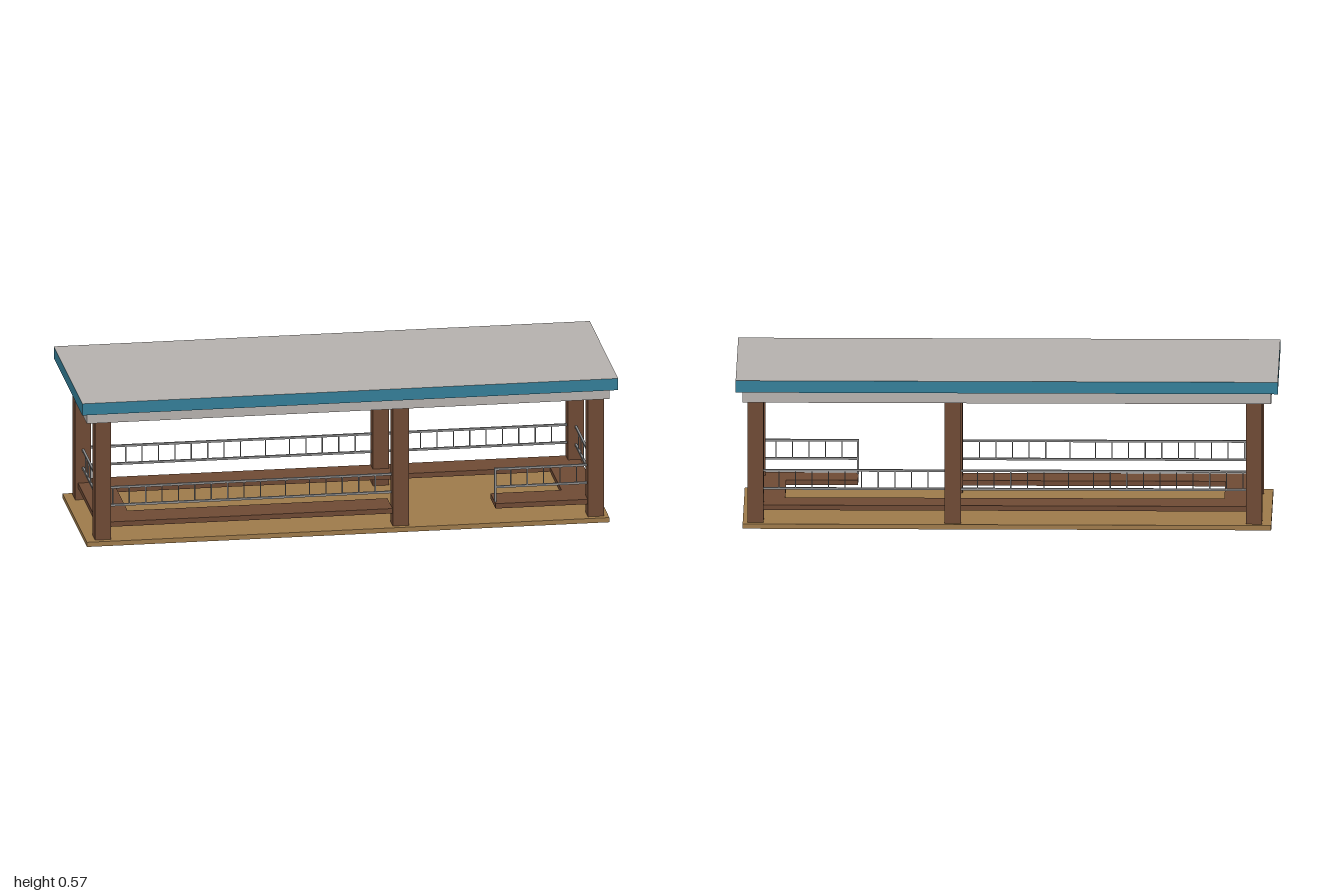
import * as THREE from 'three';

const paint = (name, color) => {
  const m = new THREE.MeshStandardMaterial({ color });
  m.name = name;
  return m;
};

export function createModel() {
  const model = new THREE.Group();
  model.name = 'pavilion';
  const grey = paint('pale grey', 0xb8b3b0);
  const teal = paint('teal trim', 0x35809a);
  const brown = paint('brown timber', 0x704b35);
  const tan = paint('tan floor', 0xa07c4c);
  const steel = paint('steel railing', 0x8f8f8f);

  const add = (name, geometry, material, parent = model) => {
    const mesh = new THREE.Mesh(geometry, material);
    mesh.name = name;
    parent.add(mesh);
    return mesh;
  };
  // Box given by its lower and upper limits
  const box = (name, [x0, y0, z0], [x1, y1, z1], material, parent) => {
    const mesh = add(name, new THREE.BoxGeometry(x1 - x0, y1 - y0, z1 - z0), material, parent);
    mesh.position.set((x0 + x1) / 2, (y0 + y1) / 2, (z0 + z1) / 2);
    return mesh;
  };
  // Plan outline (x, z) extruded between two heights
  const slab = (name, points, y0, y1, material, hole) => {
    const toVec = ([x, z]) => new THREE.Vector2(x, z);
    const shape = new THREE.Shape(points.map(toVec));
    if (hole) shape.holes.push(new THREE.Path(hole.map(toVec)));
    const geometry = new THREE.ExtrudeGeometry(shape, { depth: y1 - y0, bevelEnabled: false });
    geometry.rotateX(Math.PI / 2).translate(0, y1, 0);
    return add(name, geometry, material);
  };
  const rect = (x, z) => [[-x, -z], [x, -z], [x, z], [-x, z]];

  // Floor and roof
  box('floor', [-0.975, 0, -0.295], [0.975, 0.018, 0.295], tan);
  box('roof', [-1, 0.528, -0.347], [1, 0.573, 0.347], [teal, teal, grey, grey, teal, teal]);
  slab('roofBeams', rect(0.975, 0.295), 0.478, 0.528, grey, rect(0.89, 0.21));

  // Posts
  for (const x of [-0.911, 0.2, 0.928])
    for (const z of [-0.243, 0.243])
      box('post', [x - 0.03, 0.018, z - 0.031], [x + 0.03, 0.478, z + 0.031], brown);

  // Bench running round the inside, open at the front entrance
  slab('bench', [
    [0.17, 0.265], [-0.93, 0.265], [-0.93, -0.265], [0.945, -0.265], [0.945, 0.265], [0.555, 0.265],
    [0.555, 0.14], [0.82, 0.14], [0.82, -0.14], [-0.8, -0.14], [-0.8, 0.14], [0.17, 0.14],
  ], 0.064, 0.083, brown);

  // Railing built along x from a to b, with evenly spaced balusters in each run
  const railing = (name, a, b, runs) => {
    const group = new THREE.Group();
    group.name = name;
    for (const y of [0.137, 0.206])
      box('rail', [a, y, -0.004], [b, y + 0.008, 0.004], steel, group);
    for (const [start, count, step] of runs)
      for (let i = 0; i < count; i++) {
        const x = start + i * step;
        box('baluster', [x - 0.002, 0.145, -0.002], [x + 0.002, 0.206, 0.002], steel, group);
      }
    model.add(group);
    return group;
  };
  for (const z of [-0.243, 0.243])
    railing('longRailing', -0.881, 0.17, [[-0.87, 10, 0.0612], [-0.226, 1, 0], [-0.136, 5, 0.0612]]).position.z = z;
  railing('backRailing', 0.23, 0.898, [[0.292, 10, 0.0611]]).position.z = -0.243;
  const short = railing('frontShortRailing', 0.553, 0.898, [[0.615, 5, 0.0612]]);
  short.position.z = 0.243;
  box('endPost', [0.553, 0.083, -0.004], [0.561, 0.206, 0.004], steel, short);
  for (const x of [-0.911, 0.928]) {
    const end = railing('endRailing', -0.212, 0.212, [[-0.155, 6, 0.0607]]);
    end.rotation.y = Math.PI / 2;
    end.position.x = x;
  }
  return model;
}
